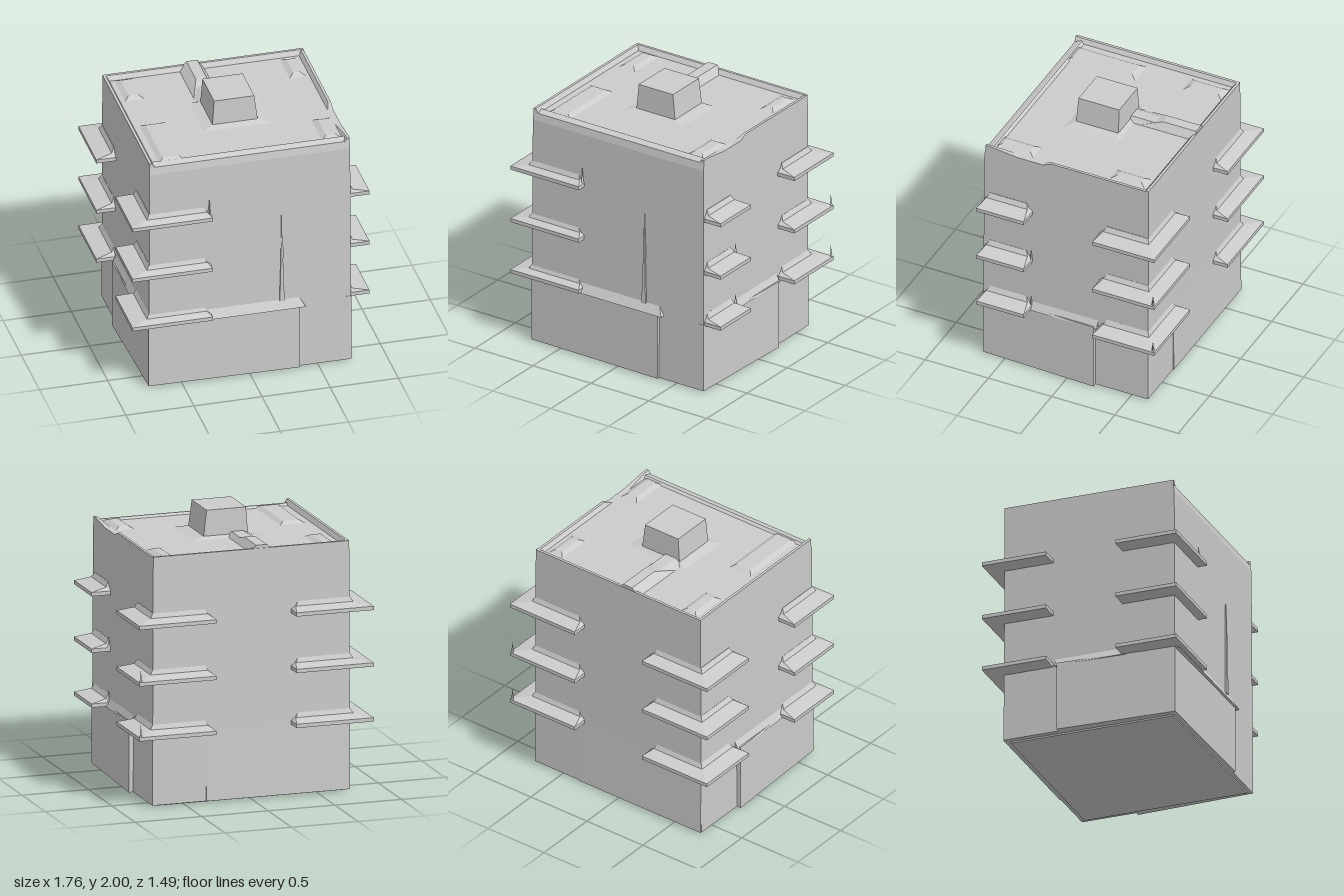
import * as THREE from 'three';

const material = new THREE.MeshStandardMaterial({ color: 0xcccccc, flatShading: true });

// Block between two corners; its top face is drawn in by inset [left, right, back, front].
function block(name, [x0, x1], [y0, y1], [z0, z1], inset = [0, 0, 0, 0]) {
  const g = new THREE.BoxGeometry(1, 1, 1);
  const p = g.attributes.position;
  for (let i = 0; i < p.count; i++) {
    const right = p.getX(i) > 0, top = p.getY(i) > 0, front = p.getZ(i) > 0;
    const k = top ? 1 : 0;
    p.setXYZ(i,
      right ? x1 - k * inset[1] : x0 + k * inset[0],
      top ? y1 : y0,
      front ? z1 - k * inset[3] : z0 + k * inset[2]);
  }
  g.computeVertexNormals();
  const mesh = new THREE.Mesh(g, material);
  mesh.name = name;
  return mesh;
}

// Upright panel from a footprint of [x, z] corners
function panel(name, footprint, [y0, y1]) {
  const shape = new THREE.Shape(footprint.map(([x, z]) => new THREE.Vector2(x, -z)));
  const g = new THREE.ExtrudeGeometry(shape, { depth: y1 - y0, bevelEnabled: false });
  g.rotateX(-Math.PI / 2).translate(0, y0, 0);
  const mesh = new THREE.Mesh(g, material);
  mesh.name = name;
  return mesh;
}

function spike(x, y, z, h) {
  const mesh = new THREE.Mesh(new THREE.ConeGeometry(0.012, h, 3), material);
  mesh.position.set(x, y + h / 2, z);
  mesh.name = 'ledgeSpike';
  return mesh;
}

export function createModel() {
  const model = new THREE.Group();
  const add = (...parts) => model.add(...parts);

  // Main walls, with a slightly rounded front edge at the top
  add(
    block('foot', [-0.7, 0.7], [0, 0.012], [-0.6, 0.64]),
    block('walls', [-0.742, 0.742], [0.012, 1.74], [-0.635, 0.67], [0.006, 0.006, 0, 0.008]),
    block('wallTop', [-0.736, 0.736], [1.74, 1.795], [-0.635, 0.662], [0.001, 0.001, 0, 0.01]),
  );

  // Ground floor panels that step out at one end and merge into the wall at the other
  add(
    panel('frontPanel', [[-0.742, 0.6], [-0.742, 0.672], [0.36, 0.69], [0.36, 0.6]], [0.012, 0.53]),
    block('frontPanelTop', [-0.74, 0.4], [0.51, 0.58], [0.6, 0.705], [0, 0.04, 0, 0.04]),
    block('backPanel', [-0.74, 0.34], [0.012, 0.53], [-0.642, -0.6], [0, 0, 0.007, 0]),
  );
  for (const s of [-1, 1]) {
    add(panel('sidePanel',
      [[s * 0.7, 0.67], [s * 0.744, 0.67], [s * 0.775, -0.22], [s * 0.7, -0.22]], [0.012, 0.53]));
    add(block('sidePanelTop', s > 0 ? [0.7, 0.77] : [-0.77, -0.7], [0.515, 0.575], [-0.24, 0.3],
      s > 0 ? [0, 0.03, 0, 0] : [0.03, 0, 0, 0]));
  }

  // Three storeys of corner ledges: a thin slab, a sloped upper side and a small fillet at the wall
  const corners = [
    { x: [-0.88, -0.29], z: [0.27, 0.735], inset: [0.12, 0.03, 0.03, 0.055] },
    { x: [-0.88, -0.3], z: [-0.75, -0.26], inset: [0.12, 0.03, 0.1, 0.03] },
    { x: [0.3, 0.88], z: [-0.75, -0.26], inset: [0.03, 0.12, 0.1, 0.03] },
    { x: [0.7, 0.88], z: [0.28, 0.655], inset: [0, 0.12, 0.03, 0.02] },
  ];
  for (const y of [0.52, 0.922, 1.335]) {
    for (const { x, z, inset } of corners) {
      const [l, r, b, f] = inset;
      const top = y + 0.05;
      add(block('ledge', x, [y, y + 0.028], z));
      add(block('ledgeSlope', x, [y + 0.028, top], z, inset));
      add(block('ledgeFillet', [x[0] + l, x[1] - r], [top, top + 0.035], [z[0] + b, z[1] - f],
        [0.02, 0.02, 0.016, 0.018]));
    }
  }
  add(
    spike(0.865, 0.95, -0.735, 0.085),
    spike(0.865, 0.545, -0.735, 0.09),
    spike(-0.3, 1.36, 0.675, 0.13),
    spike(0.75, 0.95, 0.285, 0.08),
    spike(0.75, 0.55, 0.285, 0.08),
  );

  // Narrow upright rib on the front wall
  add(
    block('frontRib', [0.215, 0.25], [0.57, 0.92], [0.64, 0.682], [0.01, 0.01, 0, 0.005]),
    block('frontRib', [0.225, 0.245], [0.92, 1.27], [0.64, 0.678], [0.005, 0.013, 0, 0.008]),
  );

  // Low roof rim, rounded along the front and open near the front of one side
  add(
    block('backRim', [-0.735, 0.735], [1.795, 1.828], [-0.635, -0.59], [0, 0, 0, 0.025]),
    block('frontRim', [-0.735, 0.735], [1.795, 1.81], [0.58, 0.652], [0, 0, 0.02, 0.04]),
    block('leftRim', [0.695, 0.735], [1.795, 1.824], [-0.63, 0.2], [0.02, 0, 0, 0.07]),
    block('leftRimEnd', [0.695, 0.735], [1.795, 1.82], [0.4, 0.655], [0.02, 0, 0.2, 0]),
    block('rightRim', [-0.735, -0.695], [1.795, 1.828], [-0.63, 0.655], [0, 0.02, 0, 0]),
  );

  // Roof house on a low sloped foot, with a duct running to the back rim
  add(
    block('roofHouseFoot', [-0.23, 0.27], [1.795, 1.812], [-0.155, 0.265], [0.07, 0.09, 0.03, 0.05]),
    block('roofHouse', [-0.155, 0.18], [1.795, 2], [-0.122, 0.212], [0.015, 0.025, 0.004, 0.008]),
    block('roofDuct', [-0.18, 0], [1.795, 1.83], [-0.4, -0.12], [0.06, 0.03, 0, 0]),
    block('roofDuctEnd', [-0.18, 0], [1.795, 1.85], [-0.63, -0.2], [0.06, 0.04, 0, 0.17]),
  );

  // Shallow roof hatches near the corners
  const hatches = [
    [[-0.66, -0.52], [-0.59, -0.29]],
    [[0.55, 0.67], [-0.57, -0.3]],
    [[0.55, 0.69], [0.3, 0.6]],
    [[-0.65, -0.46], [0.06, 0.61]],
  ];
  for (const [x, z] of hatches) {
    add(block('roofHatch', x, [1.795, 1.815], z, [0.035, 0.035, 0.04, 0.04]));
  }

  return model;
}
